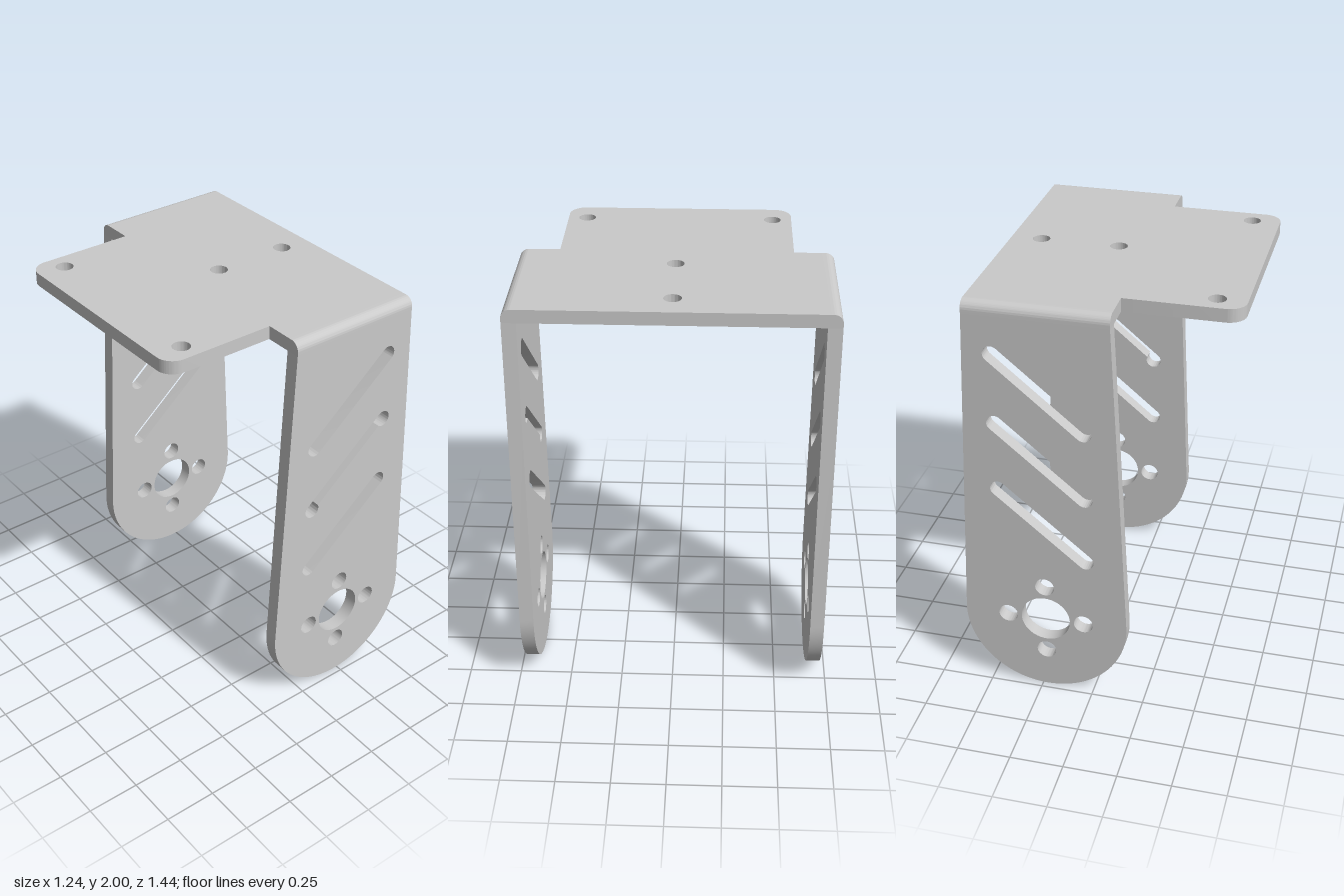
import * as THREE from 'three';
import { toCreasedNormals } from 'three/addons/utils/BufferGeometryUtils.js';

const LEFT = -0.097, RIGHT = 0.551;      // x extent of the bent strip
const OUT = 0.719, IN = 0.654;           // outer and inner z of the legs
const TOP = 2, UNDER = 1.938;            // top plate faces
const CX = 0.227, CY = 0.391, R = 0.391; // rounded foot of each leg

const steel = new THREE.MeshStandardMaterial({ color: 0xcacaca });
steel.name = 'grey steel';

function extrude(shape, depth) {
  const geo = new THREE.ExtrudeGeometry(shape, { depth, bevelEnabled: false, curveSegments: 24 });
  return toCreasedNormals(geo, 0.5);
}

function part(name, geo) {
  const mesh = new THREE.Mesh(geo, steel);
  mesh.name = name;
  return mesh;
}

function roundHole(shape, x, y, r) {
  shape.holes.push(new THREE.Path().absarc(x, y, r, 0, Math.PI * 2, false));
}

// Slanted slot; "low" is how far its lower edge lies from the centre line.
// When low < r, the round ends bulge below the edge.
function slot(shape, y, low) {
  const r = 0.038, x0 = 0.027, x1 = 0.427, rise = 0.338;
  const tilt = Math.atan2(rise, x1 - x0), dip = Math.asin(low / r);
  const hole = new THREE.Path();
  hole.absarc(x0, y, r, tilt + Math.PI / 2, tilt + 2 * Math.PI - dip, false);
  hole.absarc(x1, y + rise, r, tilt + Math.PI + dip, tilt + 2.5 * Math.PI, false);
  hole.closePath();
  shape.holes.push(hole);
}

// Tapered leg ending in a round foot, sides tangent to the foot
function legShape(middleLow) {
  const half = (RIGHT - LEFT) / 2, h = UNDER - CY;
  const a = Math.atan2(h, half) - Math.acos(R / Math.hypot(half, h));
  const s = new THREE.Shape();
  s.absarc(CX, CY, R, Math.PI - a, 2 * Math.PI + a, false);
  s.lineTo(RIGHT, UNDER);
  s.lineTo(LEFT, UNDER);
  s.closePath();
  roundHole(s, CX, CY, 0.118);
  for (let i = 0; i < 4; i++) {
    const t = i * Math.PI / 2;
    roundHole(s, CX + 0.183 * Math.cos(t), CY + 0.183 * Math.sin(t), 0.046);
  }
  slot(s, 0.75, 0.038);
  slot(s, 1.088, middleLow);
  slot(s, 1.426, 0.038);
  return s;
}

// Top plate with a side tab, drawn in x and -z
function plateShape() {
  const tabX = -0.62, tabZ = 0.534, c = 0.08;
  const s = new THREE.Shape();
  s.moveTo(RIGHT, -IN);
  s.lineTo(RIGHT, IN);
  s.lineTo(LEFT, IN);
  s.lineTo(LEFT, tabZ);
  s.absarc(tabX + c, tabZ - c, c, Math.PI / 2, Math.PI, false);
  s.absarc(tabX + c, -tabZ + c, c, Math.PI, Math.PI * 1.5, false);
  s.lineTo(LEFT, -tabZ);
  s.lineTo(LEFT, -IN);
  s.closePath();
  for (const [x, z] of [[-0.489, 0.444], [-0.489, -0.444], [0.046, 0], [0.411, 0]]) {
    roundHole(s, x, z, 0.04);
  }
  return s;
}

// Cross-section of the bend, rounded on the outside
function bendShape() {
  const r = 0.042;
  const s = new THREE.Shape();
  s.moveTo(IN, UNDER);
  s.lineTo(OUT, UNDER);
  s.absarc(OUT - r, TOP - r, r, 0, Math.PI / 2, false);
  s.lineTo(IN, TOP);
  s.closePath();
  return s;
}

export function createModel() {
  const bracket = new THREE.Group();
  bracket.name = 'bracket';

  const plate = extrude(plateShape(), TOP - UNDER).rotateX(-Math.PI / 2).translate(0, UNDER, 0);
  bracket.add(part('topPlate', plate));

  // The middle slot of the front leg is narrower
  bracket.add(part('frontLeg', extrude(legShape(0.01), OUT - IN).translate(0, 0, IN)));
  bracket.add(part('backLeg', extrude(legShape(0.038), OUT - IN).translate(0, 0, -OUT)));

  const width = RIGHT - LEFT;
  bracket.add(part('frontBend', extrude(bendShape(), width).rotateY(-Math.PI / 2).translate(RIGHT, 0, 0)));
  bracket.add(part('backBend', extrude(bendShape(), width).rotateY(Math.PI / 2).translate(LEFT, 0, 0)));
  return bracket;
}
